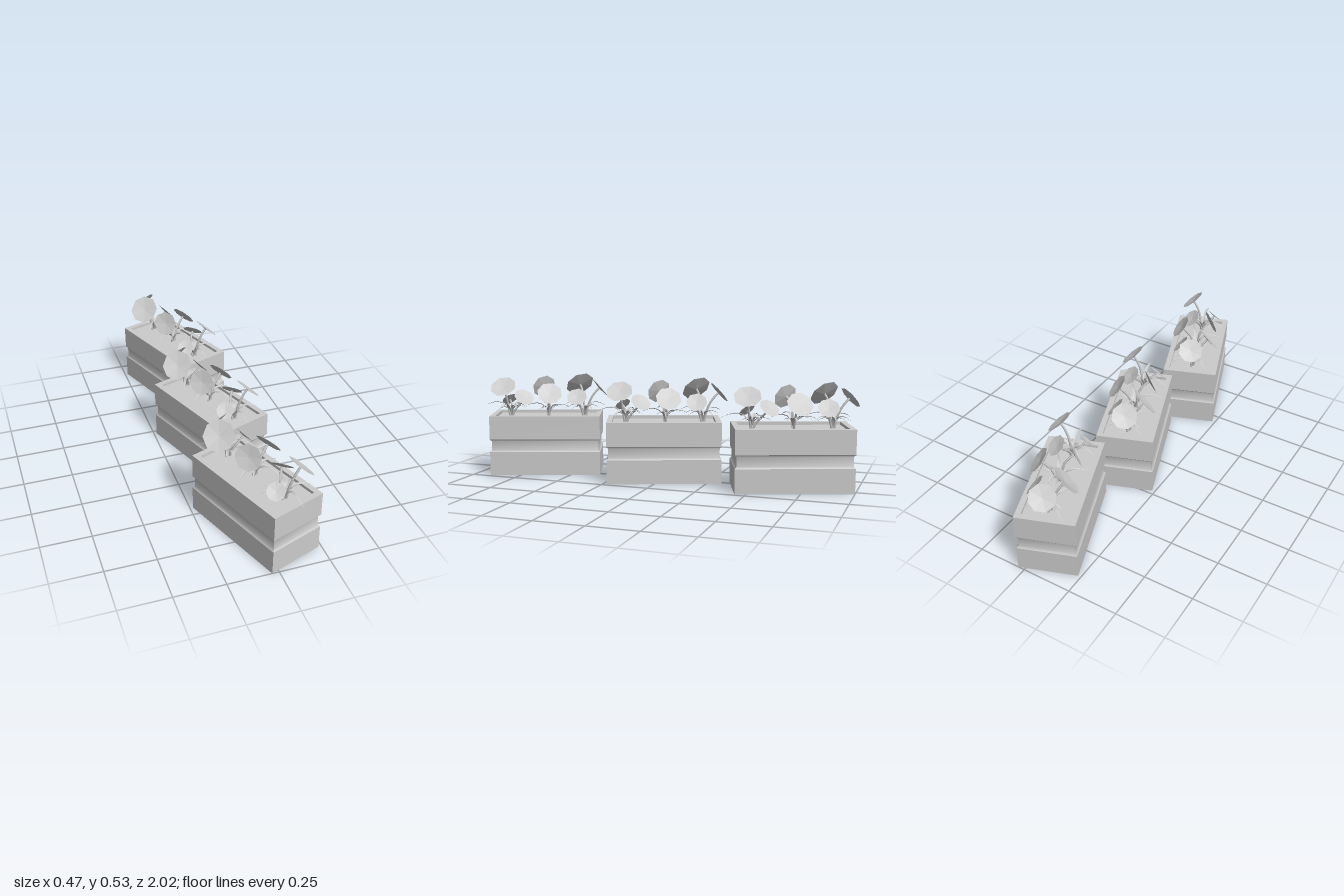
import * as THREE from 'three';

const grey = new THREE.MeshStandardMaterial({ color: 0xcccccc });
const thin = new THREE.MeshStandardMaterial({ color: 0xcccccc, side: THREE.DoubleSide });
const thinFlat = new THREE.MeshStandardMaterial({ color: 0xcccccc, side: THREE.DoubleSide, flatShading: true });

const HALF_W = 0.143, HALF_L = 0.294, HEIGHT = 0.318, LIP = 0.028, TURN = THREE.MathUtils.degToRad(20);
const SOIL = 0.303;

function add(parent, name, geometry, material) {
  const mesh = new THREE.Mesh(geometry, material);
  mesh.name = name;
  parent.add(mesh);
  return mesh;
}

// One wall strip; profile rows are [y, inset] from top to bottom
function wallStrip(halfSpan, halfDepth, profile) {
  const geo = new THREE.PlaneGeometry(2, 1, 1, profile.length - 1);
  const p = geo.attributes.position;
  for (let i = 0; i < p.count; i++) {
    const [y, inset] = profile[Math.floor(i / 2)];
    p.setXYZ(i, Math.sign(p.getX(i)) * (halfSpan - inset), y, halfDepth - inset);
  }
  geo.computeVertexNormals();
  return geo;
}

function rectangle(Type, w, l) {
  return new Type().moveTo(-w, -l).lineTo(w, -l).lineTo(w, l).lineTo(-w, l).closePath();
}

// Trough with a groove running round its middle
function makeBox() {
  const box = new THREE.Group();
  box.name = 'planterBox';
  const strips = {
    upperWall: [[SOIL - 0.005, 0], [0.194, 0]],
    groove: [[0.194, 0], [0.183, 0.009], [0.136, 0.009], [0.125, 0]],
    lowerWall: [[0.125, 0], [0, 0]],
  };
  for (let side = 0; side < 4; side++) {
    const [span, depth] = side % 2 ? [HALF_L, HALF_W] : [HALF_W, HALF_L];
    for (const [name, profile] of Object.entries(strips)) {
      add(box, name, wallStrip(span, depth, profile), grey).rotation.y = side * Math.PI / 2;
    }
  }
  // Rim standing round the soil
  const rim = rectangle(THREE.Shape, HALF_W, HALF_L);
  rim.holes.push(rectangle(THREE.Path, HALF_W - LIP, HALF_L - LIP));
  const rimGeo = new THREE.ExtrudeGeometry(rim, { depth: HEIGHT - SOIL + 0.005, bevelEnabled: false });
  rimGeo.rotateX(-Math.PI / 2).translate(0, SOIL - 0.005, 0);
  add(box, 'rim', rimGeo, grey);

  const soil = new THREE.PlaneGeometry(2 * (HALF_W - LIP), 2 * (HALF_L - LIP));
  add(box, 'soil', soil.rotateX(-Math.PI / 2).translate(0, SOIL, 0), grey);
  const base = new THREE.PlaneGeometry(2 * HALF_W, 2 * HALF_L);
  add(box, 'base', base.rotateX(Math.PI / 2), grey);
  box.rotation.y = TURN;
  return box;
}

// Eight-sided shallow flower head on a bent stem
function makeFlower(root, centre, normal, radius) {
  const flower = new THREE.Group();
  flower.name = 'flower';
  const n = new THREE.Vector3(...normal).normalize();
  const c = new THREE.Vector3(...centre);
  const headGeo = new THREE.CircleGeometry(radius, 8);
  headGeo.attributes.position.setZ(0, -0.12 * radius);
  const head = add(flower, 'flowerHead', headGeo, thinFlat);
  head.quaternion.setFromUnitVectors(new THREE.Vector3(0, 0, 1), n);
  head.position.copy(c);

  const end = c.clone().addScaledVector(n, -0.12 * radius);
  const start = root.clone().lerp(new THREE.Vector3(c.x, SOIL, c.z), 0.12);
  const middle = end.clone().addScaledVector(n, -0.07);
  const low = start.clone().lerp(middle, 0.4).setY(start.y + 0.05);
  const path = new THREE.CubicBezierCurve3(start, low, middle, end);
  add(flower, 'stem', new THREE.TubeGeometry(path, 8, 0.006, 5), grey);
  return flower;
}

// Arching tapered leaf, folded slightly along its midrib
function leafGeometry(reach, rise, width) {
  const geo = new THREE.PlaneGeometry(1, 1, 2, 6);
  const p = geo.attributes.position;
  for (let i = 0; i < p.count; i++) {
    const t = p.getY(i) + 0.5, s = p.getX(i);
    const w = width * (0.35 + 2.2 * t * (1 - t)) * (1 - t ** 3);
    const y = rise * Math.sin(Math.PI * 0.77 * Math.pow(t, 0.75));
    p.setXYZ(i, reach * Math.pow(t, 1.25), SOIL + y + Math.abs(s) * w * 0.5, s * w);
  }
  geo.computeVertexNormals();
  return geo;
}

function makeLeaves(root, seed) {
  const leaves = new THREE.Group();
  leaves.name = 'leaves';
  for (let i = 0; i < 8; i++) {
    const vary = Math.sin(seed * 5.3 + i * 2.4);
    const long = i % 2 === 0;
    const geo = leafGeometry((long ? 0.14 : 0.085) + 0.015 * vary, (long ? 0.066 : 0.055) + 0.008 * vary, 0.02);
    add(leaves, 'leaf', geo, thin).rotation.y = i * Math.PI / 4 + seed * 0.5 + 0.2 * vary;
  }
  leaves.position.set(root.x, 0, root.z);
  return leaves;
}

// Each plant: root [x, z] and flowers as [centre, facing direction, radius]
const plants = [
  { root: [0.065, 0.19], flowers: [
    [[0.137, 0.47, 0.193], [0.65, 0.75, -0.12], 0.07],
    [[0.006, 0.385, 0.228], [-0.35, 0.7, 0.6], 0.045],
    [[0.089, 0.412, 0.093], [0.42, 0.72, -0.55], 0.055]] },
  { root: [0, -0.01], flowers: [
    [[-0.058, 0.456, 0.047], [-0.62, 0.35, 0.7], 0.066],
    [[0.08, 0.436, -0.055], [0.68, 0.62, -0.39], 0.067]] },
  { root: [-0.068, -0.19], flowers: [
    [[-0.1, 0.457, -0.272], [-0.4, 0.65, -0.65], 0.065],
    [[-0.134, 0.47, -0.135], [-0.5, 0.63, 0.59], 0.079],
    [[0.01, 0.414, -0.183], [0.73, 0.65, -0.2], 0.055]] },
];

function makePlanter() {
  const planter = new THREE.Group();
  planter.name = 'planter';
  planter.add(makeBox());
  plants.forEach(({ root, flowers }, i) => {
    const plant = new THREE.Group();
    plant.name = 'plant';
    const base = new THREE.Vector3(root[0], SOIL, root[1]);
    plant.add(makeLeaves(base, i));
    for (const f of flowers) plant.add(makeFlower(base, ...f));
    planter.add(plant);
  });
  return planter;
}

export function createModel() {
  const model = new THREE.Group();
  model.name = 'flowerPlanters';
  for (const z of [-0.675, 0, 0.675]) {
    const planter = makePlanter();
    planter.position.z = z;
    model.add(planter);
  }
  return model;
}
